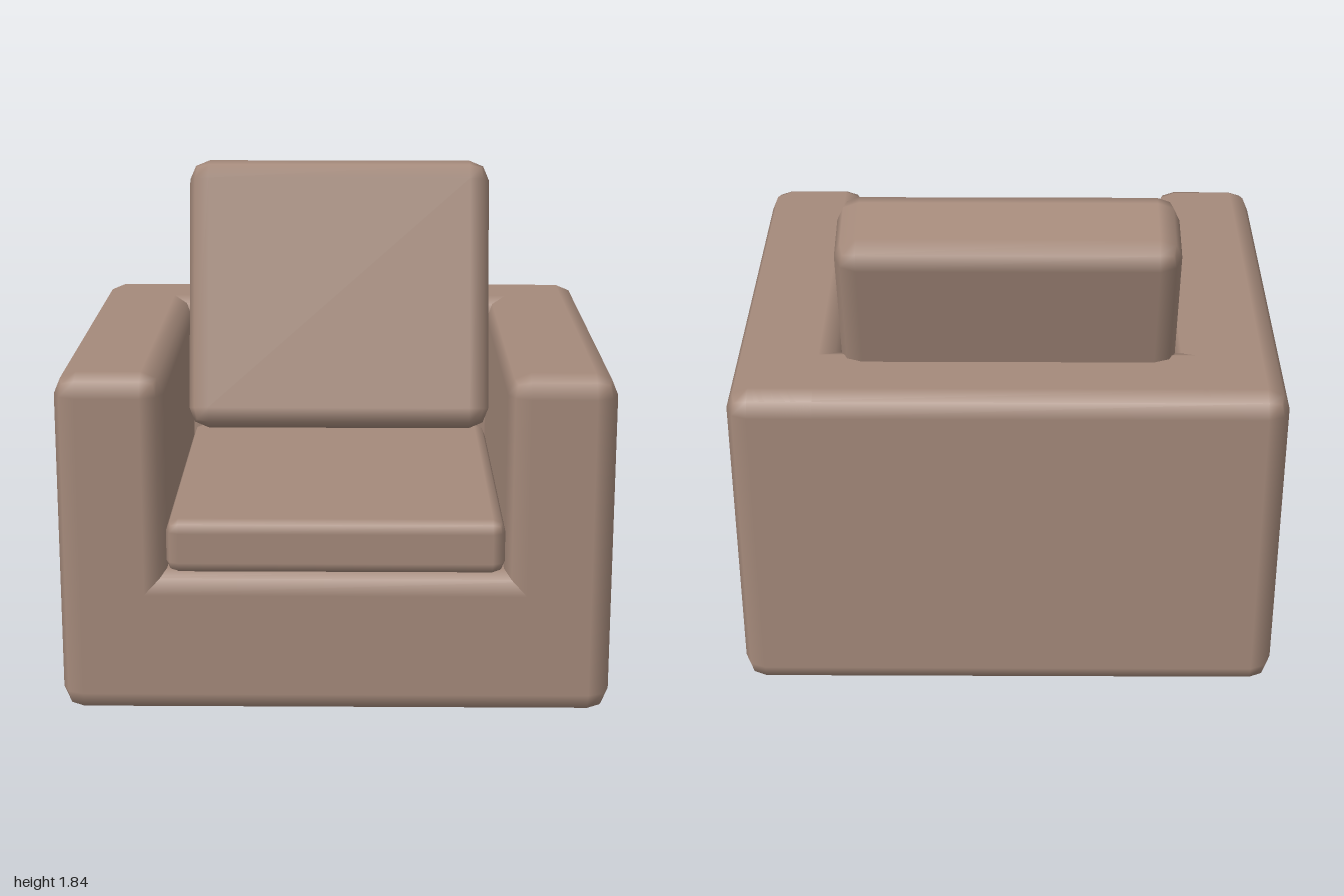
import * as THREE from 'three';
import { RoundedBoxGeometry } from 'three/addons/geometries/RoundedBoxGeometry.js';

export function createModel() {
  const chair = new THREE.Group();
  chair.name = 'armchair';
  const fabric = new THREE.MeshStandardMaterial({ color: 0xa58a7b });
  fabric.name = 'tan fabric';

  // Soft-edged block given by its lower and upper corners
  function block(name, min, max, radius, parent = chair) {
    const size = max.map((v, i) => v - min[i]);
    const mesh = new THREE.Mesh(new RoundedBoxGeometry(...size, 1, radius), fabric);
    mesh.position.set(...max.map((v, i) => (v + min[i]) / 2));
    mesh.name = name;
    parent.add(mesh);
    return mesh;
  }

  const depth = 0.875, height = 1.27, inner = 0.61, edge = 0.08;

  // Frame: base, back and two arms merged into one U-shaped body
  const frame = new THREE.Group();
  frame.name = 'frame';
  chair.add(frame);
  block('base', [-1, 0, -depth], [1, 0.54, depth], edge, frame);
  block('back', [-1, 0, -depth], [1, height, -0.48], edge, frame);
  block('leftArm', [inner, 0, -depth], [1, height, depth], edge, frame);
  block('rightArm', [-1, 0, -depth], [-inner, height, depth], edge, frame);

  // Seat cushion fills the space between the arms
  block('seatCushion', [-inner, 0.535, -0.52], [inner, 0.735, 0.868], 0.045);

  // Back cushion leans against the back
  const cushion = new THREE.Mesh(new RoundedBoxGeometry(1.214, 1.087, 0.352, 1, edge), fabric);
  cushion.name = 'backCushion';
  cushion.position.set(0, 1.295, -0.434);
  cushion.rotation.x = -Math.PI / 12;
  chair.add(cushion);

  return chair;
}
